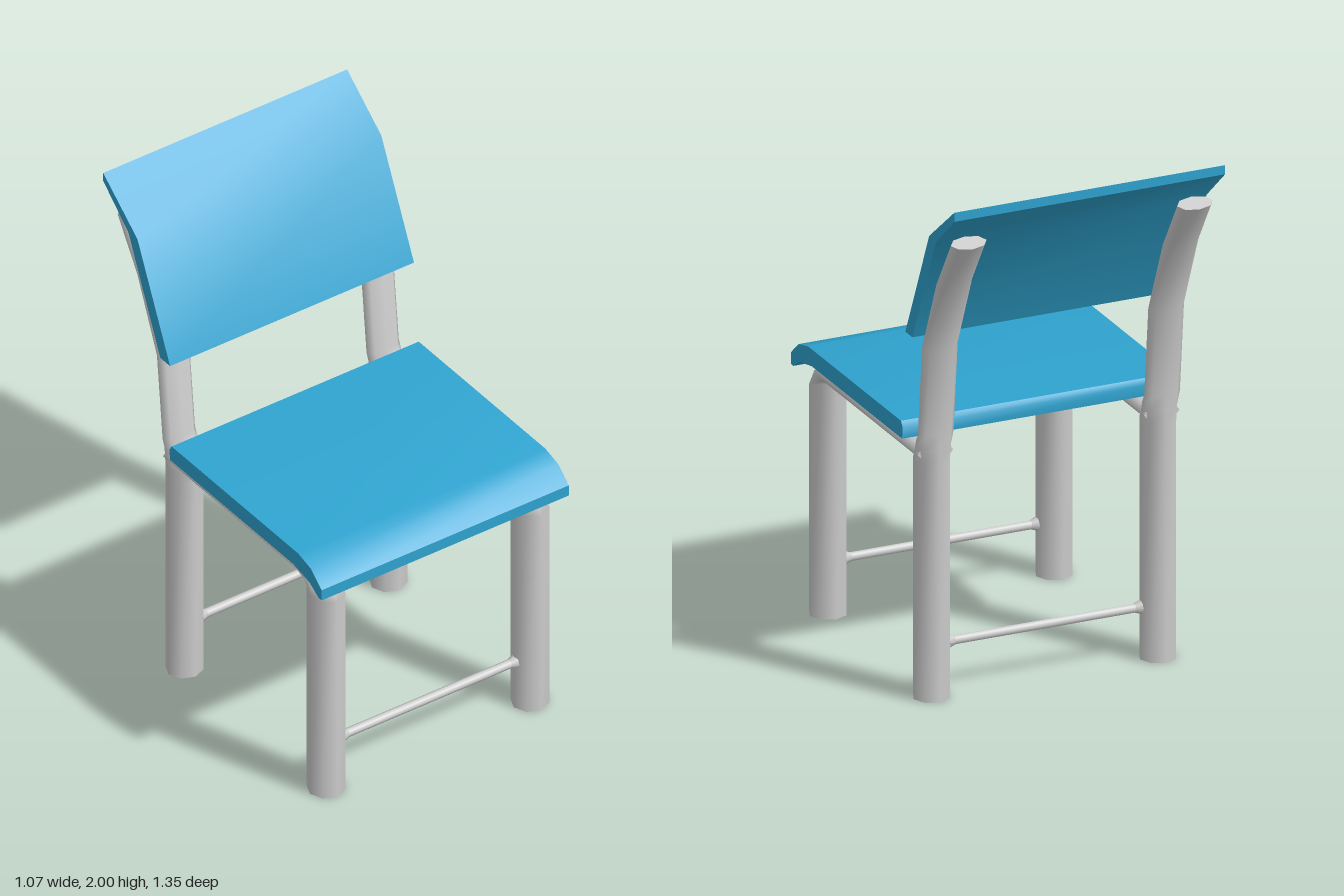
import * as THREE from 'three';
import { toCreasedNormals } from 'three/addons/utils/BufferGeometryUtils.js';

const SIDES = 8;

// Octagonal tube lofted through rings; each ring spans [frontZ, frontY, backZ, backY]
function loft(rings, halfWidth) {
  const pos = [], idx = [];
  const addRing = ([az, ay, bz, by]) => {
    const start = pos.length / 3;
    for (let j = 0; j < SIDES; j++) {
      const t = (j / SIDES) * Math.PI * 2, s = Math.sin(t) / 2;
      pos.push(halfWidth * Math.cos(t), (ay + by) / 2 + (ay - by) * s, (az + bz) / 2 + (az - bz) * s);
    }
    return start;
  };
  const starts = rings.map(addRing);
  for (let i = 0; i + 1 < starts.length; i++) {
    for (let j = 0; j < SIDES; j++) {
      const k = (j + 1) % SIDES, a = starts[i], b = starts[i + 1];
      idx.push(a + j, b + j, a + k, b + j, b + k, a + k);
    }
  }
  // Flat end caps with their own vertices
  const first = addRing(rings[0]), last = addRing(rings[rings.length - 1]);
  for (let j = 1; j + 1 < SIDES; j++) {
    idx.push(first, first + j, first + j + 1, last, last + j + 1, last + j);
  }
  const g = new THREE.BufferGeometry();
  g.setAttribute('position', new THREE.Float32BufferAttribute(pos, 3));
  g.setIndex(idx);
  g.computeVertexNormals();
  return g;
}

// Bent panel: a [z, y] side profile extruded across x
function panel(profile, xMin, xMax) {
  const shape = new THREE.Shape(profile.map(([z, y]) => new THREE.Vector2(z, y)));
  const g = new THREE.ExtrudeGeometry(shape, { depth: xMax - xMin, bevelEnabled: false });
  g.rotateY(-Math.PI / 2);
  g.translate(xMax, 0, 0);
  return toCreasedNormals(g, 0.85);
}

export function createModel() {
  const chair = new THREE.Group();
  chair.name = 'chair';
  const grey = new THREE.MeshStandardMaterial({ color: 0xcccccc });
  const blue = new THREE.MeshStandardMaterial({ color: 0x2fa4d0 });
  const add = (name, geometry, material, x = 0, y = 0, z = 0) => {
    const mesh = new THREE.Mesh(geometry, material);
    mesh.name = name;
    mesh.position.set(x, y, z);
    chair.add(mesh);
    return mesh;
  };

  // Front leg bending over into the flatter seat rail
  const frontLeg = loft([
    [0.64, 0, 0.5, 0],
    [0.64, 0.86, 0.5, 0.91],
    [0.59, 0.94, 0.495, 0.91],
    [0.5, 0.98, 0.485, 0.91],
    [-0.33, 0.98, -0.33, 0.91],
  ], 0.07);

  // Rear leg narrowing above the seat and curving backwards
  const rearLeg = loft([
    [-0.23, 0, -0.365, 0],
    [-0.23, 0.91, -0.365, 0.91],
    [-0.26, 0.985, -0.365, 0.96],
    [-0.3, 1.02, -0.365, 1.02],
    [-0.335, 1.38, -0.4, 1.36],
    [-0.455, 1.67, -0.52, 1.64],
    [-0.575, 1.86, -0.642, 1.835],
  ], 0.07);

  for (const [side, x] of [['left', 0.441], ['right', -0.445]]) {
    add(side + 'FrontLegAndRail', frontLeg, grey, x);
    add(side + 'RearLeg', rearLeg, grey, x);
  }

  // Thin stretchers with small collars where they meet the legs
  const bar = new THREE.CylinderGeometry(0.017, 0.017, 0.8, SIDES).rotateZ(Math.PI / 2);
  const collar = new THREE.CylinderGeometry(0.017, 0.026, 0.025, SIDES, 1, true);
  for (const [name, z] of [['front', 0.57], ['rear', -0.298]]) {
    add(name + 'Stretcher', bar, grey, 0, 0.2, z);
    for (const s of [-1, 1]) {
      add(name + 'StretcherCollar', collar, grey, s * 0.365, 0.2, z).rotation.z = s * Math.PI / 2;
    }
  }

  // Seat with a rolled front edge
  add('seat', panel([
    [-0.255, 0.985], [0.5, 0.985], [0.6, 0.965], [0.655, 0.93], [0.675, 0.93],
    [0.675, 0.975], [0.61, 1.03], [0.53, 1.05], [-0.245, 1.05], [-0.258, 1.03],
  ], -0.538, 0.536), blue);

  // Backrest bent backwards near its top
  add('backrest', panel([
    [-0.26, 1.395], [-0.32, 1.395], [-0.515, 1.83], [-0.67, 1.965],
    [-0.67, 2], [-0.46, 1.835],
  ].reverse(), -0.534, 0.526), blue);

  return chair;
}
